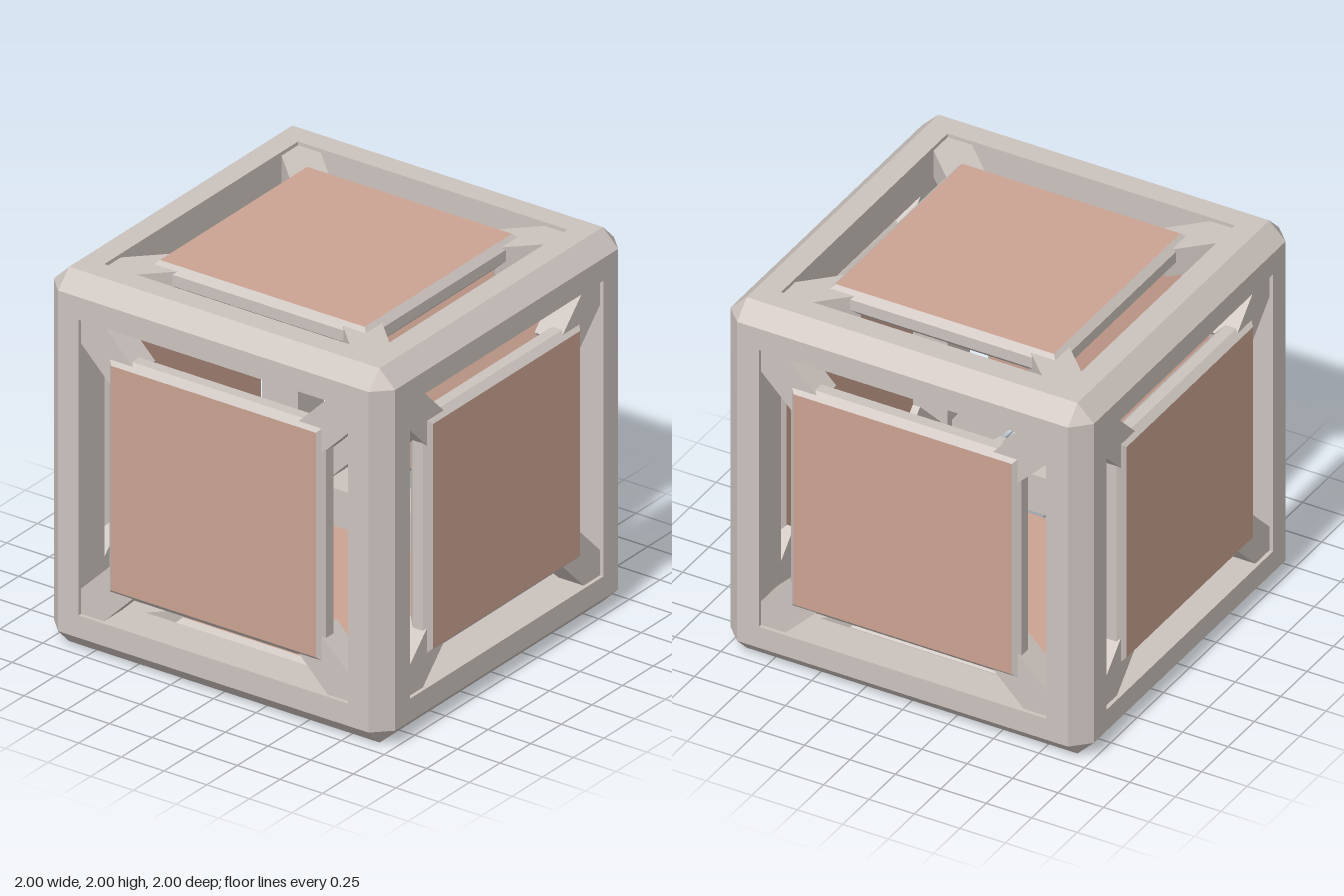
import * as THREE from 'three';
import { mergeGeometries } from 'three/addons/utils/BufferGeometryUtils.js';

const OUT = 1, CH = 0.91, IN = 0.79; // frame: outer face, chamfer start, opening edge

// Flat-shaded geometry from convex faces listed as corner loops
function fromFaces(faces) {
  const pos = [];
  for (const f of faces)
    for (let i = 1; i < f.length - 1; i++) pos.push(...f[0], ...f[i], ...f[i + 1]);
  const g = new THREE.BufferGeometry();
  g.setAttribute('position', new THREE.Float32BufferAttribute(pos, 3));
  g.computeVertexNormals();
  return g;
}

// One mitred beam along x, on the +y +z edge of the cube
function beam() {
  const section = [[IN, IN], [IN, OUT], [CH, OUT], [OUT, CH], [OUT, IN]]; // [y, z]
  const reach = ([y, z]) => Math.min(y, z, CH);
  return fromFaces(section.map((p, i) => {
    const q = section[(i + 1) % section.length];
    return [[-reach(p), ...p], [reach(p), ...p], [reach(q), ...q], [-reach(q), ...q]];
  }));
}

// The whole chamfered cube frame: 12 beams and 8 corner facets
function frameGeometry() {
  const parts = [];
  for (let k = 0; k < 4; k++) {
    const turn = k * Math.PI / 2;
    parts.push(beam().rotateX(turn));
    parts.push(beam().rotateX(turn).rotateZ(Math.PI / 2));
    parts.push(beam().rotateX(turn).rotateY(Math.PI / 2));
    for (const flip of [0, Math.PI]) {
      parts.push(fromFaces([[[OUT, CH, CH], [CH, OUT, CH], [CH, CH, OUT]]])
        .rotateX(flip).rotateY(turn));
    }
  }
  return mergeGeometries(parts);
}

// Panel rim with bevelled front and back edges, facing +z
function rimGeometry() {
  const rings = [[0.6, 0.87], [0.635, 0.905], [0.635, 0.965], [0.6, 1]]; // [half size, z]
  const faces = [];
  for (let i = 0; i < rings.length - 1; i++) {
    const [a, z0] = rings[i], [b, z1] = rings[i + 1];
    const side = [[-a, -a, z0], [a, -a, z0], [b, -b, z1], [-b, -b, z1]];
    for (let k = 0; k < 4; k++) {
      const c = [1, 0, -1, 0][k], s = [0, 1, 0, -1][k];
      faces.push(side.map(([x, y, z]) => [c * x - s * y, s * x + c * y, z]));
    }
  }
  return fromFaces(faces);
}

export function createModel() {
  const grey = new THREE.MeshStandardMaterial({ color: 0xcbc2bd });
  grey.name = 'warm grey';
  const clay = new THREE.MeshStandardMaterial({ color: 0xcba291 });
  clay.name = 'clay pink';

  const model = new THREE.Group();
  model.name = 'framedCube';
  const add = (parent, name, geo, mat) => {
    const m = new THREE.Mesh(geo, mat);
    m.name = name;
    parent.add(m);
    return m;
  };

  const body = new THREE.Group();
  body.name = 'body';
  body.position.y = 1;
  model.add(body);
  add(body, 'frame', frameGeometry(), grey);

  // One panel with its four diagonal struts, repeated on six sides
  const rim = rimGeometry();
  const plate = new THREE.PlaneGeometry(1.2, 1.2);
  const r0 = 0.75, r1 = 1.21;
  const strut = new THREE.BoxGeometry(r1 - r0, 0.19, 0.15).translate((r0 + r1) / 2, 0, 0.905);
  const q = Math.PI / 2;
  const sides = {
    front: [0, 0], left: [0, q], back: [0, 2 * q], right: [0, -q], top: [-q, 0], bottom: [q, 0],
  };
  for (const [name, [rx, ry]] of Object.entries(sides)) {
    const side = new THREE.Group();
    side.name = name + 'Side';
    side.rotation.set(rx, ry, 0);
    body.add(side);
    add(side, 'panelRim', rim, grey);
    add(side, 'panelFace', plate, clay).position.z = 1;
    const inner = add(side, 'panelInnerFace', plate, clay);
    inner.position.z = 0.87;
    inner.rotation.y = Math.PI;
    for (let k = 0; k < 4; k++) add(side, 'strut', strut, grey).rotation.z = (k + 0.5) * q;
  }
  return model;
}
